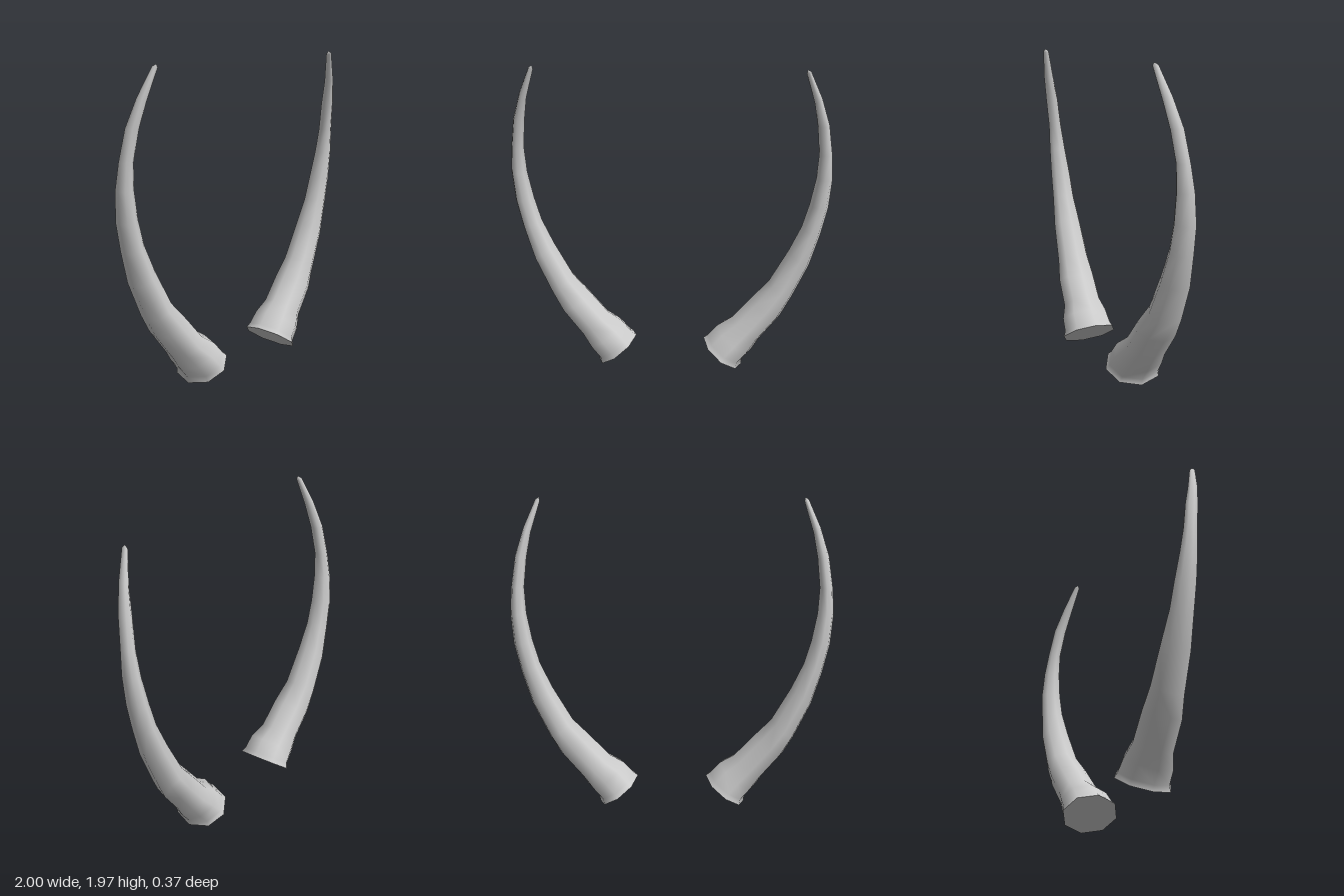
import * as THREE from 'three';

const SIDES = 8;

// Cross-sections from base to tip:
// inner edge x, y, outer edge x, y, front z, back z
const SECTIONS = [
  [0.22, 0.19, 0.467, 0.012, 0.185, -0.183],
  [0.248, 0.21, 0.472, 0.05, 0.168, -0.17],
  [0.31, 0.28, 0.53, 0.117, 0.158, -0.163],
  [0.40, 0.336, 0.584, 0.2, 0.118, -0.144],
  [0.52, 0.47, 0.71, 0.357, 0.105, -0.15],
  [0.63, 0.587, 0.775, 0.475, 0.076, -0.143],
  [0.75, 0.80, 0.88, 0.70, 0.058, -0.134],
  [0.824, 0.96, 0.943, 0.91, 0.04, -0.113],
  [0.867, 1.11, 0.984, 1.09, 0.036, -0.102],
  [0.90, 1.28, 1.0, 1.28, 0.036, -0.076],
  [0.91, 1.44, 0.99, 1.44, 0.04, -0.048],
  [0.893, 1.62, 0.963, 1.63, 0.067, -0.017],
  [0.866, 1.77, 0.91, 1.80, 0.096, 0.03],
  [0.809, 1.955, 0.836, 1.967, 0.124, 0.086],
];

// Octagonal ring, from the outer edge towards the front
function ring([ix, iy, ox, oy, front, back], side) {
  const points = [];
  for (let j = 0; j < SIDES; j++) {
    const a = (j / SIDES) * Math.PI * 2;
    const c = Math.cos(a) / 2, s = Math.sin(a) / 2;
    points.push([
      side * ((ix + ox) / 2 + (ox - ix) * c),
      (iy + oy) / 2 + (oy - iy) * c,
      (front + back) / 2 + (front - back) * s,
    ]);
  }
  return points;
}

function surface(points, faces, side) {
  const geometry = new THREE.BufferGeometry();
  geometry.setAttribute('position', new THREE.Float32BufferAttribute(points.flat(), 3));
  // Mirrored horns need the opposite corner order
  geometry.setIndex(faces.flatMap(([a, b, c]) => (side > 0 ? [a, b, c] : [a, c, b])));
  geometry.computeVertexNormals();
  return geometry;
}

function createHorn(side, material) {
  const horn = new THREE.Group();
  horn.name = side > 0 ? 'leftHorn' : 'rightHorn';

  // Curved shaft with its flared lip and a blunt closed tip
  const points = SECTIONS.flatMap((s) => ring(s, side));
  const faces = [];
  for (let i = 0; i < SECTIONS.length - 1; i++) {
    for (let j = 0; j < SIDES; j++) {
      const k = (j + 1) % SIDES;
      const a = i * SIDES + j, b = i * SIDES + k;
      faces.push([a, a + SIDES, b], [b, a + SIDES, b + SIDES]);
    }
  }
  const last = (SECTIONS.length - 1) * SIDES;
  points.push([side * 0.815, 1.978, 0.11]);
  for (let j = 0; j < SIDES; j++) {
    faces.push([points.length - 1, last + ((j + 1) % SIDES), last + j]);
  }
  const shaft = new THREE.Mesh(surface(points, faces, side), material);
  shaft.name = 'shaft';

  // Flat base, kept separate for a sharp edge
  const baseFaces = [];
  for (let j = 1; j < SIDES - 1; j++) baseFaces.push([0, j, j + 1]);
  const base = new THREE.Mesh(surface(ring(SECTIONS[0], side), baseFaces, side), material);
  base.name = 'base';

  horn.add(shaft, base);
  return horn;
}

export function createModel() {
  const model = new THREE.Group();
  model.name = 'hornPair';
  const material = new THREE.MeshStandardMaterial({ color: 0xcccccc });
  material.name = 'paleGrey';
  for (const side of [1, -1]) model.add(createHorn(side, material));
  return model;
}
